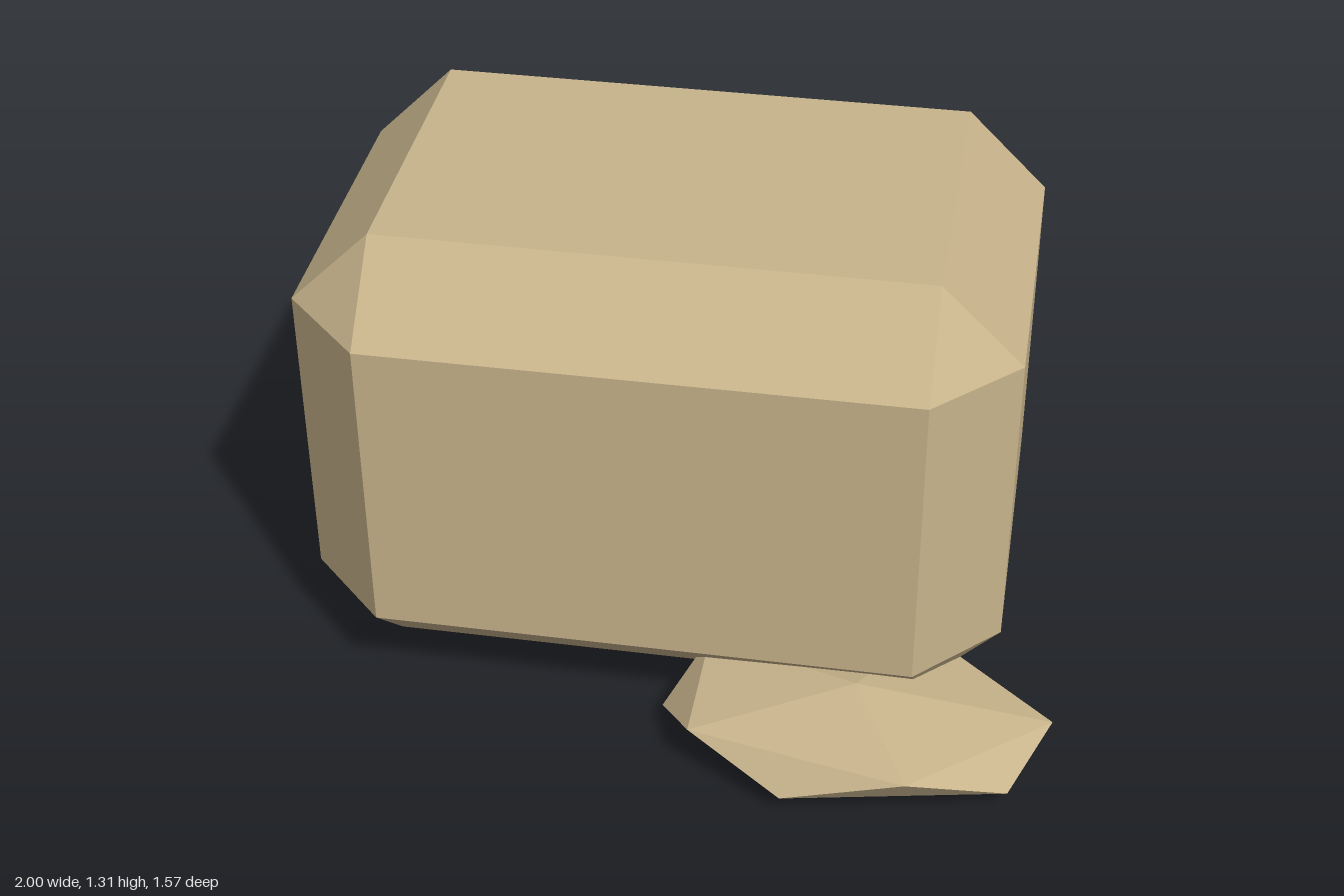
import * as THREE from 'three';
import { ConvexGeometry } from 'three/addons/geometries/ConvexGeometry.js';

// Box with every edge and corner cut off by the same amount
function chamferedBox(w, h, d, cut) {
  const points = [];
  const [x, y, z] = [w / 2, h / 2, d / 2];
  for (const sx of [-1, 1]) for (const sy of [-1, 1]) for (const sz of [-1, 1]) {
    points.push(
      new THREE.Vector3(sx * x, sy * (y - cut), sz * (z - cut)),
      new THREE.Vector3(sx * (x - cut), sy * y, sz * (z - cut)),
      new THREE.Vector3(sx * (x - cut), sy * (y - cut), sz * z),
    );
  }
  return new ConvexGeometry(points);
}

// Icosahedron standing on a pole: two poles and two staggered rings of five
function pebble(rx, ry, rz) {
  const points = [new THREE.Vector3(0, ry, 0), new THREE.Vector3(0, -ry, 0)];
  const ringY = ry / Math.sqrt(5);
  for (let i = 0; i < 10; i++) {
    const a = (i * Math.PI) / 5;
    points.push(new THREE.Vector3(rx * Math.cos(a), i % 2 ? -ringY : ringY, rz * Math.sin(a)));
  }
  return new ConvexGeometry(points);
}

export function createModel() {
  const group = new THREE.Group();
  group.name = 'boulder';
  const sandstone = new THREE.MeshStandardMaterial({ color: 0xc8b48c, flatShading: true });
  sandstone.name = 'sandstone';

  // Main block
  const block = new THREE.Mesh(chamferedBox(1.845, 1.275, 1.28, 0.213), sandstone);
  block.name = 'block';
  block.position.set(-0.0775, 0.6775, -0.15);
  group.add(block);

  // Flat stone tucked under the front left corner
  const flatStone = new THREE.Mesh(pebble(0.51, 0.105, 0.31), sandstone);
  flatStone.name = 'flatStone';
  flatStone.position.set(0.49, 0.105, 0.49);
  group.add(flatStone);

  return group;
}
